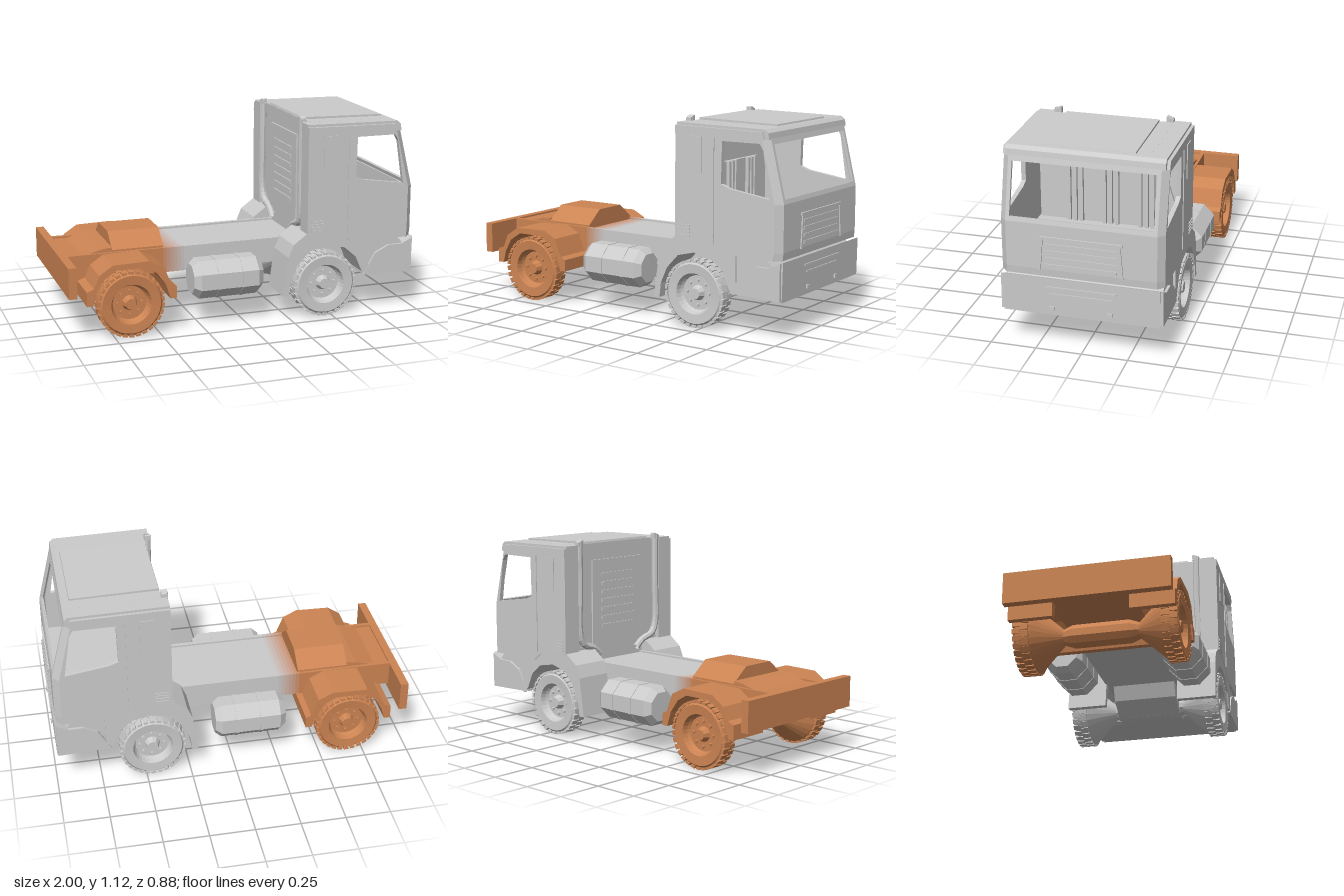
import * as THREE from 'three';

const GREY = 0xcccccc, ORANGE = 0xcc8453;
const mat = (color) => new THREE.MeshStandardMaterial({ color, flatShading: true, side: THREE.DoubleSide });
const grey = mat(GREY), orange = mat(ORANGE);

function add(parent, name, geo, material) {
  const m = new THREE.Mesh(geo, material);
  m.name = name;
  parent.add(m);
  return m;
}

// Box given by its limits on each axis
function box(parent, name, [x0, x1], [y0, y1], [z0, z1], material = grey) {
  const m = add(parent, name, new THREE.BoxGeometry(x1 - x0, y1 - y0, z1 - z0), material);
  m.position.set((x0 + x1) / 2, (y0 + y1) / 2, (z0 + z1) / 2);
  return m;
}

const outline = (pts) => new THREE.Shape(pts.map(([x, y]) => new THREE.Vector2(x, y)));
const hole = (pts) => new THREE.Path(pts.map(([x, y]) => new THREE.Vector2(x, y)));
const lathe = (pts, sides, start = 0) =>
  new THREE.LatheGeometry(pts.map(([r, y]) => new THREE.Vector2(r, y)), sides, start);

// Side profile (x, y) extruded from z0 to z1
function slab(parent, name, shape, z0, z1, material = grey) {
  const m = add(parent, name, new THREE.ExtrudeGeometry(shape, { depth: z1 - z0, bevelEnabled: false }), material);
  m.position.z = z0;
}

// The same profile on both sides of the truck
function slabPair(parent, name, shape, z0, z1, material = grey) {
  slab(parent, name, shape, z0, z1, material);
  slab(parent, name, shape, -z1, -z0, material);
}

// Front profile (z, y) extruded along x from x0 to x1
function crossSlab(parent, name, shape, x0, x1, material = grey) {
  const m = add(parent, name, new THREE.ExtrudeGeometry(shape, { depth: x1 - x0, bevelEnabled: false }), material);
  m.rotation.y = Math.PI / 2;
  m.position.x = x0;
}

// Wheel with deep inner cone, tread lugs, dished rim and hub bolts; axis along z
function wheel(material) {
  const g = new THREE.Group();
  g.name = 'wheel';
  const tyre = add(g, 'tyre', lathe([[0.04, 0.2], [0.168, 0.34], [0.178, 0.355], [0.18, 0.39], [0.178, 0.415], [0.162, 0.432],
    [0.112, 0.428], [0.104, 0.4], [0.094, 0.385], [0, 0.385]], 30), material);
  tyre.rotation.x = Math.PI / 2;
  for (let i = 0; i < 30; i++) {
    const a = (i / 30) * Math.PI * 2;
    for (const [z, shift] of [[0.368, 0], [0.41, 0.1]]) {
      const lug = add(g, 'treadLug', new THREE.BoxGeometry(0.026, 0.014, 0.042), material);
      lug.position.set(Math.cos(a + shift) * 0.177, Math.sin(a + shift) * 0.177, z);
      lug.rotation.z = a + shift + Math.PI / 2;
    }
  }
  const hub = add(g, 'hub', new THREE.CylinderGeometry(0.03, 0.045, 0.04, 10), material);
  hub.rotation.x = Math.PI / 2;
  hub.position.z = 0.4;
  for (let i = 0; i < 8; i++) {
    const a = (i / 8) * Math.PI * 2;
    const bolt = add(g, 'wheelBolt', new THREE.CylinderGeometry(0.01, 0.01, 0.02, 6), material);
    bolt.rotation.x = Math.PI / 2;
    bolt.position.set(Math.cos(a) * 0.068, Math.sin(a) * 0.068, 0.39);
  }
  return g;
}

function axle(parent, name, x, material) {
  const g = new THREE.Group();
  g.name = name;
  g.position.set(x, 0.185, 0);
  for (const turn of [0, Math.PI]) {
    const w = wheel(material);
    w.rotation.y = turn;
    g.add(w);
  }
  const beam = add(g, 'axleHousing', lathe([[0.04, -0.21], [0.063, -0.15], [0.063, 0.15], [0.04, 0.21]], 10), material);
  beam.rotation.x = Math.PI / 2;
  parent.add(g);
}

function buildChassis(root) {
  // Frame and deck, fading from orange to grey in short sections
  const cuts = [-0.96, -0.42, -0.4, -0.38, -0.36, -0.34, -0.32, -0.3, 0.7];
  for (let i = 0; i < cuts.length - 1; i++) {
    const m = mat(new THREE.Color(ORANGE).lerp(new THREE.Color(GREY), i / (cuts.length - 2)));
    const span = [cuts[i], cuts[i + 1]];
    box(root, 'frame', span, [0.28, 0.41], [-0.2, 0.2], m);
    for (const s of [-1, 1]) box(root, 'frameRail', span, [0.28, 0.42], [s * 0.205 - 0.012, s * 0.205 + 0.012], m);
  }
  box(root, 'rearBar', [-1, -0.955], [0.25, 0.42], [-0.435, 0.435], orange);
  // Engine underside between the front wheels
  slab(root, 'engineSump', outline([[0.7, 0.29], [0.7, 0.24], [0.62, 0.2], [0.52, 0.135], [0.42, 0.135], [0.31, 0.2], [0.27, 0.29]]), -0.18, 0.18);
  // Coupling block with sloping sides, and its low ramp
  crossSlab(root, 'coupling', outline([[-0.2, 0.41], [0.2, 0.41], [0.2, 0.43], [0.1, 0.51], [-0.1, 0.51], [-0.2, 0.43]]),
    -0.705, -0.415, orange);
  slab(root, 'couplingRamp', outline([[-0.87, 0.41], [-0.705, 0.41], [-0.705, 0.445], [-0.76, 0.44]]), -0.2, 0.2, orange);
  // Rear mudguards with short vertical flaps
  const guard = outline([[-0.905, 0.2], [-0.905, 0.28], [-0.865, 0.295], [-0.835, 0.365], [-0.76, 0.415], [-0.56, 0.42],
    [-0.48, 0.38], [-0.44, 0.28], [-0.41, 0.265], [-0.41, 0.2], [-0.445, 0.2], [-0.47, 0.28], [-0.52, 0.35],
    [-0.58, 0.385], [-0.74, 0.385], [-0.81, 0.34], [-0.85, 0.27], [-0.87, 0.2]]);
  slabPair(root, 'rearMudguard', guard, 0.2, 0.435, orange);
  slab(root, 'rearFlap', outline([[-0.445, 0.2], [-0.41, 0.2], [-0.41, 0.265], [-0.44, 0.28], [-0.47, 0.28]]), -0.2, 0.2, orange);
  // Faceted fuel tanks with straps
  const tankProfile = [[0, -0.2], [0.085, -0.2], [0.115, -0.165], [0.115, 0.165], [0.085, 0.2], [0, 0.2]];
  for (const s of [-1, 1]) {
    const tank = add(root, 'fuelTank', lathe(tankProfile, 8, Math.PI / 8), grey);
    tank.rotation.z = Math.PI / 2;
    tank.position.set(-0.1, 0.264, s * 0.325);
    for (const x of [-0.16, -0.02]) {
      const strap = add(root, 'tankStrap', new THREE.CylinderGeometry(0.118, 0.118, 0.02, 8, 1, false, Math.PI / 8), grey);
      strap.rotation.z = Math.PI / 2;
      strap.position.set(x, 0.264, s * 0.325);
    }
  }
}

// Front corners, chamfered from the front face back to the sides
function cornerPillar(cab, front, s) {
  const pos = [], index = [];
  front.forEach(([x, y], i) => {
    pos.push(x, y, s * 0.4, x - 0.035, y, s * 0.435);
    const a = i * 2;
    if (i < front.length - 1) index.push(...(s > 0 ? [a, a + 2, a + 1, a + 1, a + 2, a + 3] : [a, a + 1, a + 2, a + 1, a + 3, a + 2]));
  });
  const geo = new THREE.BufferGeometry();
  geo.setAttribute('position', new THREE.Float32BufferAttribute(pos, 3));
  geo.setIndex(index);
  geo.computeVertexNormals();
  add(cab, 'cornerPillar', geo, grey);
}

function buildCab(root) {
  const cab = new THREE.Group();
  cab.name = 'cab';
  root.add(cab);
  // Side walls with door windows
  const side = outline([[0.345, 0.48], [0.47, 0.48], [0.56, 0.46], [0.61, 0.42], [0.945, 0.42], [0.95, 0.46],
    [0.95, 0.71], [0.87, 1.04], [0.345, 1.04]]);
  side.holes.push(hole([[0.635, 1.015], [0.86, 1.015], [0.88, 0.98], [0.918, 0.735], [0.68, 0.77], [0.63, 0.79]]));
  slabPair(cab, 'sideWall', side, 0.41, 0.435);
  // Lower front and corners
  const front = [[0.981, 0.42], [0.985, 0.46], [0.985, 0.71], [0.905, 1.04]];
  slab(cab, 'frontPanel', outline([[0.92, 0.42], ...front.slice(0, 3), [0.96, 0.71], [0.95, 0.48]]), -0.4, 0.4);
  for (const s of [-1, 1]) cornerPillar(cab, front, s);
  // Sloping windscreen frame
  const len = Math.hypot(0.08, 0.33), a = 0.08 / len, b = 0.33 / len;
  const frame = outline([[-0.4, 0], [0.4, 0], [0.4, len], [-0.4, len]]);
  frame.holes.push(hole([[-0.38, 0.025], [0.38, 0.025], [0.38, 0.31], [-0.38, 0.31]]));
  const screen = add(cab, 'windscreenFrame', new THREE.ExtrudeGeometry(frame, { depth: 0.015, bevelEnabled: false }).translate(0, 0, -0.015), grey);
  screen.applyMatrix4(new THREE.Matrix4().makeBasis(new THREE.Vector3(0, 0, -1), new THREE.Vector3(-a, b, 0),
    new THREE.Vector3(b, a, 0)).setPosition(0.985, 0.71, 0));
  // Roof cap, notched at the back between the corners, with raised panel
  const roof = [[0.905, 1.035], [0.9, 1.07], [0.88, 1.088]];
  slab(cab, 'roof', outline([[0.375, 1.035], ...roof, [0.375, 1.096]]), -0.33, 0.33);
  slabPair(cab, 'roofSide', outline([[0.345, 1.035], ...roof, [0.345, 1.096]]), 0.33, 0.42);
  slabPair(cab, 'roofEdge', outline([[0.345, 1.035], [0.885, 1.035], [0.87, 1.075], [0.345, 1.082]]), 0.42, 0.437);
  slab(cab, 'roofPanel', outline([[0.375, 1.09], [0.86, 1.08], [0.855, 1.098], [0.38, 1.108]]), -0.255, 0.255);
  // Floor, recessed back wall, ribbed seat back
  box(cab, 'floor', [0.37, 0.95], [0.47, 0.5], [-0.42, 0.42]);
  box(cab, 'backWall', [0.375, 0.4], [0.41, 1.04], [-0.34, 0.34]);
  crossSlab(cab, 'seatBack', outline([[-0.4, 0.5], [0.4, 0.5], [0.29, 0.85], [-0.29, 0.85]]), 0.4, 0.42);
  for (const z of [-0.2, 0, 0.2]) for (const d of [-0.035, 0, 0.035])
    box(cab, 'seatRib', [0.42, 0.44], [0.5, 0.85], [z + d - 0.01, z + d + 0.01]);
  // Louvres on the back wall
  box(cab, 'backPanel', [0.365, 0.38], [0.5, 1.0], [-0.2, 0.2]);
  for (let i = 0; i < 7; i++) box(cab, 'backLouvre', [0.358, 0.37], [0.6 + i * 0.05, 0.62 + i * 0.05], [-0.13, 0.13]);
  // Grille with flared surround
  box(cab, 'grilleTop', [0.98, 0.994], [0.63, 0.645], [-0.22, 0.22]);
  for (const s of [-1, 1]) crossSlab(cab, 'grilleSide', outline([[s * 0.2, 0.635], [s * 0.21, 0.635], [s * 0.225, 0.455], [s * 0.215, 0.455]]), 0.98, 0.992);
  for (let i = 0; i < 4; i++) box(cab, 'grilleSlat', [0.98, 0.99], [0.475 + i * 0.038, 0.493 + i * 0.038], [-0.19, 0.19]);
  for (const s of [-1, 1]) {
    const z = [s * 0.436 - 0.004, s * 0.436 + 0.004];
    // Back corners, side vents, side panel and door edge
    box(cab, 'backCorner', [0.345, 0.4], [0.48, 1.04], [s * 0.375 - 0.045, s * 0.375 + 0.045]);
    for (let i = 0; i < 4; i++) box(cab, 'sideVent', [0.365, 0.44], [0.495 + i * 0.018, 0.504 + i * 0.018], z);
    box(cab, 'sidePanel', [0.435, 0.51], [0.84, 1.03], z);
    box(cab, 'doorEdge', [0.583, 0.588], [0.47, 1.03], z);
    // Exhaust stack with elbow at its foot
    const path = new THREE.CatmullRomCurve3([[0.358, 1.115, 0.31], [0.358, 0.85, 0.31], [0.358, 0.58, 0.31], [0.358, 0.52, 0.28],
      [0.36, 0.49, 0.2], [0.36, 0.45, 0.15]].map(([x, y, w]) => new THREE.Vector3(x, y, s * w)));
    add(cab, 'exhaustStack', new THREE.TubeGeometry(path, 24, 0.02, 8), grey);
    // Slanted stack mouth
    crossSlab(cab, 'exhaustMouth', outline([[-s * 0.29, 1.09], [-s * 0.33, 1.09], [-s * 0.33, 1.11], [-s * 0.295, 1.125], [-s * 0.29, 1.12]]), 0.342, 0.374);
  }
  // Front mudguards
  const guard = outline([[0.205, 0.14], [0.235, 0.36], [0.265, 0.43], [0.34, 0.485], [0.56, 0.485], [0.72, 0.43],
    [0.72, 0.21], [0.68, 0.24], [0.64, 0.33], [0.57, 0.39], [0.46, 0.41], [0.36, 0.385], [0.29, 0.31], [0.25, 0.22], [0.24, 0.14]]);
  slabPair(cab, 'frontMudguard', guard, 0.21, 0.432);
  // Bumper with stepped ends, intake slot and tow eyes
  slab(cab, 'bumper', outline([[0.69, 0.22], [0.99, 0.205], [0.995, 0.415], [0.93, 0.385], [0.9, 0.42], [0.7, 0.42]]), -0.42, 0.42);
  slabPair(cab, 'bumperEnd', outline([[0.69, 0.22], [0.985, 0.21], [0.985, 0.41], [0.92, 0.38], [0.84, 0.38], [0.76, 0.34]]), 0.42, 0.435);
  box(cab, 'bumperSlotLip', [0.985, 1], [0.36, 0.37], [-0.19, 0.19]);
  box(cab, 'bumperSlotLip', [0.985, 0.998], [0.325, 0.332], [-0.17, 0.17]);
  for (const s of [-1, 1]) box(cab, 'towEye', [0.985, 1], [0.235, 0.255], [s * 0.155 - 0.012, s * 0.155 + 0.012]);
}

export function createModel() {
  const truck = new THREE.Group();
  truck.name = 'truck';
  buildChassis(truck);
  buildCab(truck);
  axle(truck, 'frontAxle', 0.46, grey);
  axle(truck, 'rearAxle', -0.66, orange);
  return truck;
}
